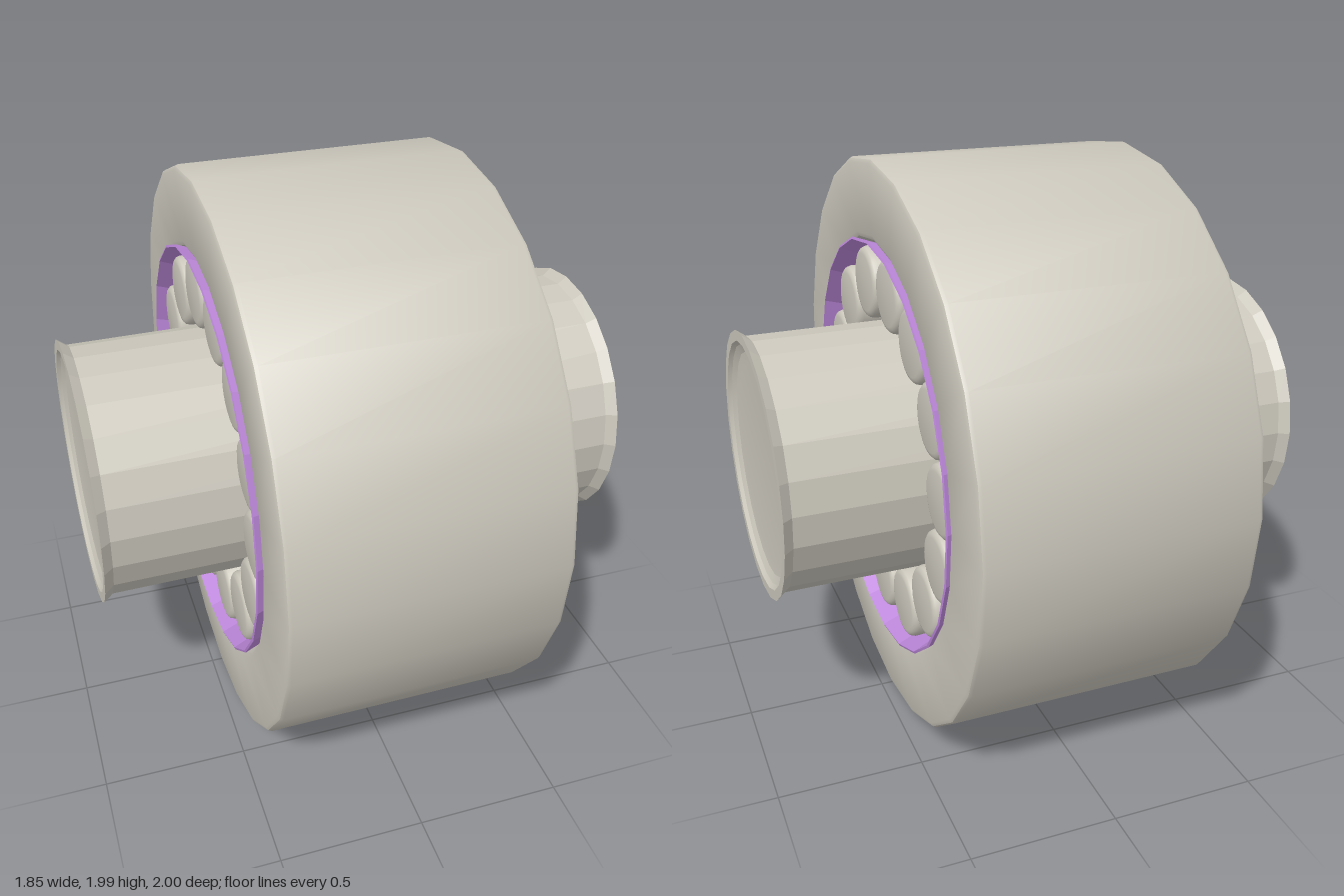
import * as THREE from 'three';
import { toCreasedNormals } from 'three/addons/utils/BufferGeometryUtils.js';

const SIDES = 24;

// Revolves [axial, radius] points around the x axis; crease sets which edges stay sharp.
function turned(name, points, material, sides = SIDES, crease = 0.6) {
  const profile = points.map(([x, r]) => new THREE.Vector2(r, x));
  const geometry = toCreasedNormals(new THREE.LatheGeometry(profile, sides), crease);
  geometry.rotateZ(-Math.PI / 2);
  const mesh = new THREE.Mesh(geometry, material);
  mesh.name = name;
  return mesh;
}

// Completes one half of a profile (centre to +x end) with its reflection.
const mirrored = (half) => [...half.map(([x, r]) => [-x, r]).reverse(), ...half];

export function createModel() {
  const steel = new THREE.MeshStandardMaterial({ color: 0xccc8bd });
  steel.name = 'steel';
  const purple = new THREE.MeshStandardMaterial({ color: 0xc08ade });
  purple.name = 'purple';

  const model = new THREE.Group();
  model.name = 'rollerBearing';

  // Thick outer ring with softened rims and a flared bore
  const ring = turned('outerRing', [
    ...mirrored([[0.448, 0.997], [0.459, 0.992], [0.465, 0.98]]),
    [0.465, 0.745], [0.458, 0.73], [0.39, 0.695],
    [-0.39, 0.695], [-0.458, 0.73], [-0.465, 0.745], [-0.465, 0.98],
  ], steel);
  ring.position.y = 1.002;
  ring.rotation.y = 0.008;
  model.add(ring);

  // Inner assembly sits very slightly skewed in the ring
  const core = new THREE.Group();
  core.name = 'innerAssembly';
  core.position.set(0, 1.005, -0.013);
  core.rotation.y = 0.018;
  model.add(core);

  // Shaft with flared lips and dished ends
  core.add(turned('shaft', mirrored([
    [0.885, 0.437], [0.918, 0.461], [0.918, 0.425], [0.905, 0.412],
    [0.893, 0.385], [0.889, 0.342], [0.889, 0],
  ]), steel, SIDES, 0.2));

  // Flared seal collar at each end of the bore
  for (const side of [1, -1]) {
    const collar = turned(side > 0 ? 'leftSeal' : 'rightSeal', [
      [0.40, 0.688], [0.40, 0.70], [0.485, 0.73], [0.488, 0.722], [0.40, 0.688],
    ], purple, SIDES, 0.2);
    if (side < 0) collar.rotation.y = Math.PI;
    core.add(collar);
  }

  // Ring of rollers with rounded ends
  const rollers = new THREE.Group();
  rollers.name = 'rollers';
  const rollerProfile = mirrored([
    [0.435, 0.125], [0.449, 0.121], [0.457, 0.112], [0.46, 0.10], [0.46, 0],
  ]);
  const roller = turned('roller', rollerProfile, steel, 24, 0.7);
  const count = 14;
  for (let i = 0; i < count; i++) {
    const angle = THREE.MathUtils.degToRad(9.5) + (i / count) * Math.PI * 2;
    const copy = roller.clone();
    copy.position.set(0, Math.cos(angle) * 0.571, -Math.sin(angle) * 0.571);
    rollers.add(copy);
  }
  core.add(rollers);

  return model;
}
